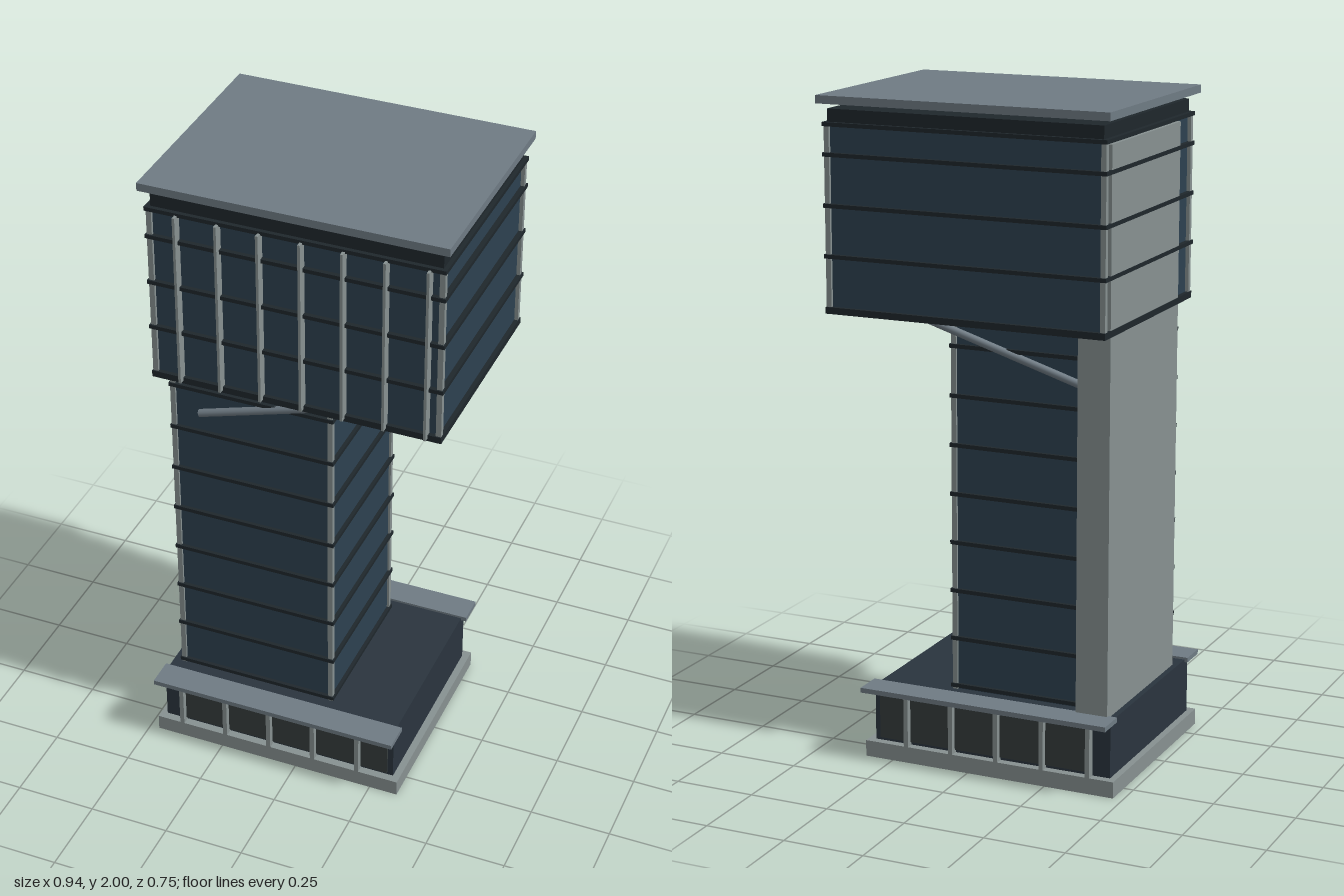
import * as THREE from 'three';

const mat = (color) => new THREE.MeshStandardMaterial({ color });

export function createModel() {
  const model = new THREE.Group();
  const glass = mat(0x2d4150), dark = mat(0x1f272c), body = mat(0x2a343e);
  const panel = mat(0x363d3d), concrete = mat(0x879191), roofing = mat(0x6f7b84);

  // Box given by its extents on each axis
  const box = (name, material, [x0, x1], [y0, y1], [z0, z1], parent = model) => {
    const mesh = new THREE.Mesh(new THREE.BoxGeometry(x1 - x0, y1 - y0, z1 - z0), material);
    mesh.position.set((x0 + x1) / 2, (y0 + y1) / 2, (z0 + z1) / 2);
    mesh.name = name;
    parent.add(mesh);
    return mesh;
  };
  const group = (name) => {
    const g = new THREE.Group();
    g.name = name;
    model.add(g);
    return g;
  };
  const around = (c, half) => [c - half, c + half];

  // Base: plinth, podium, glazed fronts, mullions and canopies
  const base = group('podium');
  box('plinth', concrete, [-0.47, 0.34], [0, 0.05], [-0.335, 0.335], base);
  box('podiumBody', body, [-0.45, 0.318], [0.05, 0.225], [-0.31, 0.31], base);
  for (const s of [1, -1]) {
    const z = (a, b) => (s > 0 ? [a, b] : [-b, -a]);
    box('podiumGlazing', panel, [-0.39, 0.3], [0.06, 0.215], z(0.3, 0.317), base);
    box('canopy', roofing, [-0.46, 0.335], [0.217, 0.232], z(0.285, 0.375), base);
    for (let i = 0; i < 5; i++) {
      box('podiumMullion', concrete, around(-0.387 + i * 0.148, 0.007), [0.05, 0.218], z(0.305, 0.335), base);
    }
  }

  // Shaft: glass body, floor bands and corner posts
  const shaft = group('shaft');
  box('shaftGlass', glass, [-0.415, 0.083], [0.225, 1.37], [-0.238, 0.238], shaft);
  for (let i = 0; i < 8; i++) {
    box('shaftBand', dark, [-0.426, 0.094], around(0.237 + i * 0.149, 0.006), [-0.249, 0.249], shaft);
  }
  for (const x of [-0.415, 0.082]) for (const z of [-0.237, 0.237]) {
    box('shaftPost', concrete, around(x, 0.008), [0.225, 1.365], around(z, 0.008), shaft);
  }

  // Solid service core up the side, through the head
  box('serviceCore', concrete, [-0.433, -0.333], [0.225, 1.905], [-0.295, 0.225]);

  // Cantilevered head: glass body, bands, corner posts and front fins
  const head = group('head');
  box('headGlass', glass, [-0.42, 0.44], [1.365, 1.92], [-0.322, 0.322], head);
  box('headSoffit', dark, [-0.433, 0.453], [1.36, 1.38], [-0.335, 0.335], head);
  for (const y of [1.53, 1.679, 1.828, 1.916]) {
    box('headBand', dark, [-0.435, 0.455], around(y, 0.006), [-0.336, 0.336], head);
  }
  for (const x of [-0.423, 0.443]) for (const z of [-0.323, 0.323]) {
    box('headPost', concrete, around(x, 0.008), [1.37, 1.92], around(z, 0.008), head);
  }
  for (let i = 0; i < 7; i++) {
    box('frontFin', concrete, around(-0.338 + i * 0.1245, 0.004), [1.37, 1.915], [0.318, 0.352], head);
  }

  // Recessed collar and floating roof slab
  box('roofCollar', dark, [-0.42, 0.443], [1.92, 1.96], [-0.323, 0.323]);
  box('roofSlab', roofing, [-0.448, 0.468], [1.976, 2], [-0.347, 0.347]);

  // Diagonal struts under the overhang
  const struts = group('struts');
  for (const z of [-0.245, 0, 0.245]) {
    const a = new THREE.Vector3(-0.33, 1.2, z), b = new THREE.Vector3(0.225, 1.37, z);
    const dir = b.clone().sub(a);
    const strut = new THREE.Mesh(new THREE.CylinderGeometry(0.012, 0.012, dir.length(), 12), roofing);
    strut.position.copy(a).add(b).multiplyScalar(0.5);
    strut.quaternion.setFromUnitVectors(new THREE.Vector3(0, 1, 0), dir.normalize());
    strut.name = 'strut';
    struts.add(strut);
  }
  return model;
}
